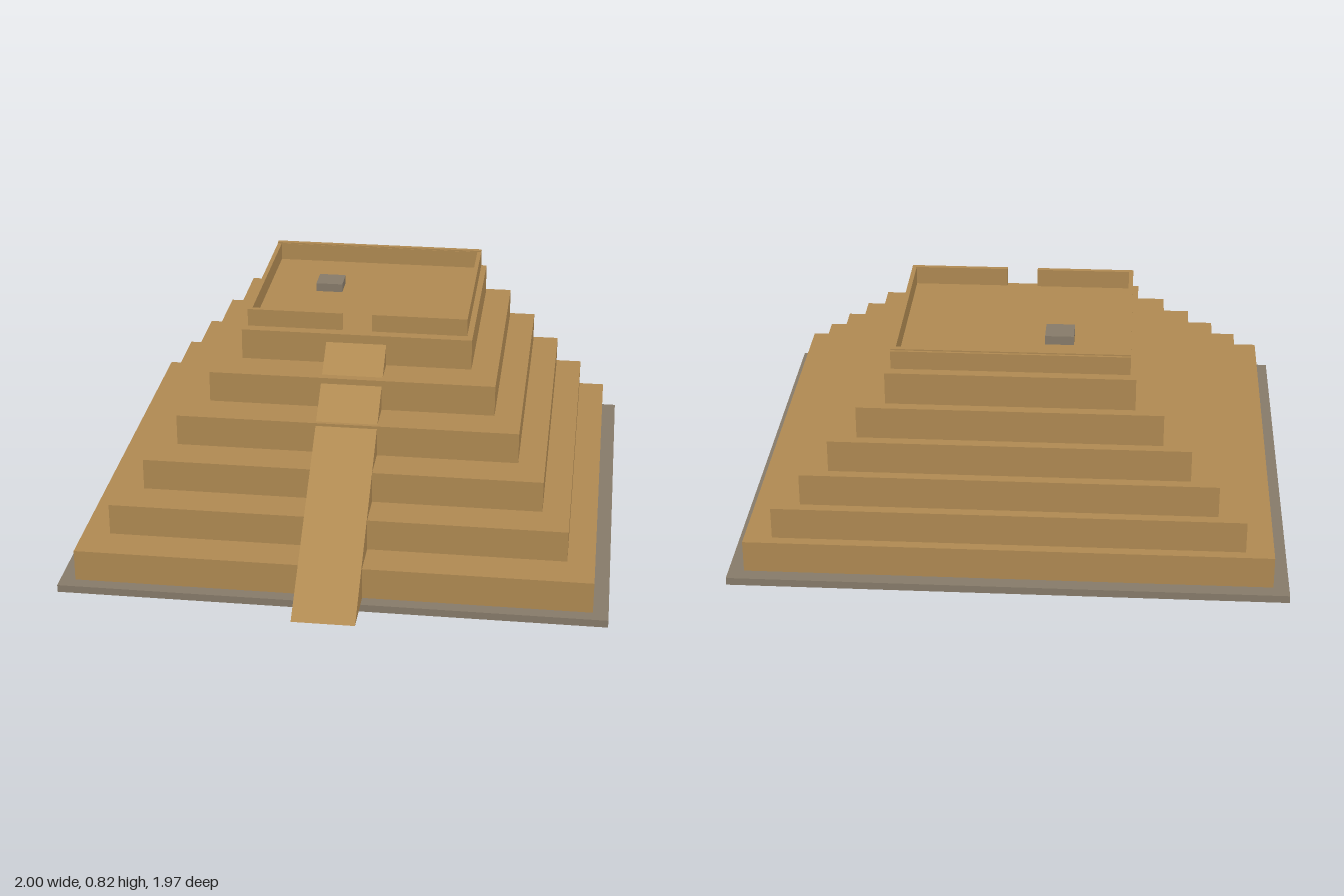
import * as THREE from 'three';

const sandstone = new THREE.MeshStandardMaterial({ color: 0xb08a52 });
sandstone.name = 'sandstone';
const greyStone = new THREE.MeshStandardMaterial({ color: 0x877b6a });
greyStone.name = 'greyStone';

// Box given by its extents on each axis
function block(name, material, [x0, x1], [y0, y1], [z0, z1]) {
  const mesh = new THREE.Mesh(new THREE.BoxGeometry(x1 - x0, y1 - y0, z1 - z0), material);
  mesh.position.set((x0 + x1) / 2, (y0 + y1) / 2, (z0 + z1) / 2);
  mesh.name = name;
  return mesh;
}

export function createModel() {
  const model = new THREE.Group();
  model.name = 'steppedPyramid';

  // Ground slab
  const baseTop = 0.028;
  model.add(block('baseSlab', greyStone, [-1, 1], [0, baseTop], [-0.985, 0.836]));

  // Six tiers, stepping in more at the front than at the back
  const tiers = new THREE.Group();
  tiers.name = 'tiers';
  const rise = 0.1187;
  for (let i = 0; i < 6; i++) {
    const half = 0.944 - i * 0.1007;
    const y = baseTop + i * rise;
    tiers.add(block(`tier${i + 1}`, sandstone, [-half, half], [y, y + rise],
      [-0.932 + i * 0.0375, 0.787 - i * 0.1477]));
  }
  model.add(tiers);
  const summit = baseTop + 6 * rise;

  // Solid wedge ramp up the front, partly buried in the tiers
  const profile = new THREE.Shape();
  profile.moveTo(-0.984, baseTop);
  profile.lineTo(-0.048, baseTop);
  profile.lineTo(-0.048, 0.706);
  profile.closePath();
  const rampGeometry = new THREE.ExtrudeGeometry(profile, { depth: 0.23, bevelEnabled: false });
  rampGeometry.translate(0, 0, -0.115);
  rampGeometry.rotateY(Math.PI / 2);
  const ramp = new THREE.Mesh(rampGeometry, sandstone);
  ramp.name = 'ramp';
  model.add(ramp);

  // Parapet around the summit, raised by a thin joint, with a front entrance
  const parapet = new THREE.Group();
  parapet.name = 'parapet';
  const wallY = [summit + 0.008, 0.816];
  for (const [side, s] of [['left', 1], ['right', -1]]) {
    const span = (a, b) => (s > 0 ? [a, b] : [-b, -a]);
    parapet.add(block(`${side}Wall`, sandstone, span(0.404, 0.42), wallY, [-0.692, 0.008]));
    parapet.add(block(`${side}FrontWall`, sandstone, span(0.057, 0.42), wallY, [0.008, 0.026]));
  }
  parapet.add(block('backWall', sandstone, [-0.42, 0.42], wallY, [-0.723, -0.692]));
  parapet.add(block('backCoping', sandstone, [-0.42, 0.42], [0.816, 0.821], [-0.714, -0.694]));
  model.add(parapet);

  // Small altar on the summit floor
  model.add(block('altar', greyStone, [-0.214, -0.11], [summit, summit + 0.033], [-0.48, -0.377]));

  return model;
}
